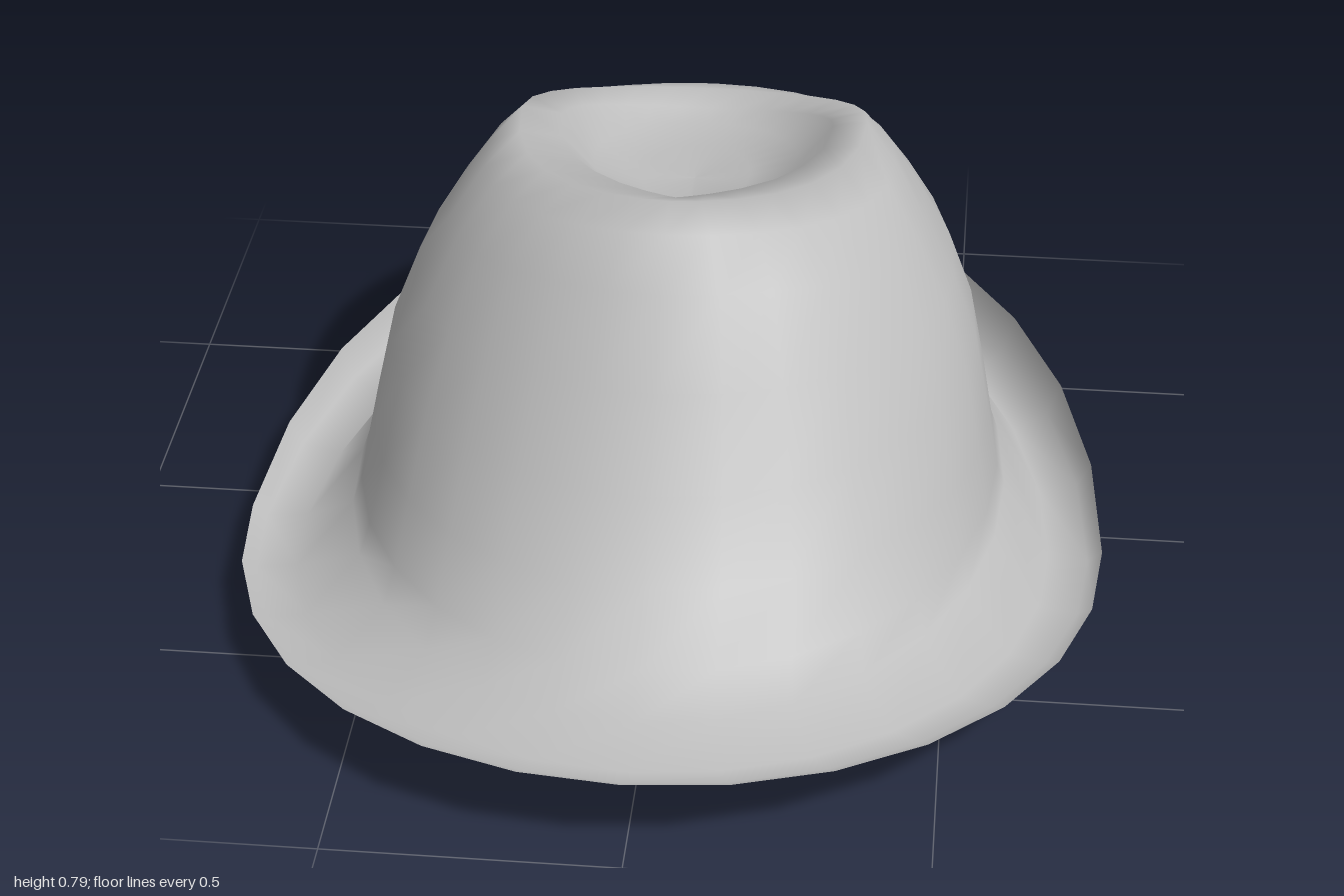
import * as THREE from 'three';

const SEG = 28;

// Egg-shaped rings from the brim edge inwards, up the crown and into the dent:
// [front z, back z, half width, z of widest point, front y, side y, back y,
//  rear dip, front pointedness, height falloff]
const RINGS = [
  [1.0, -1.0, 0.775, 0.15, 0.18, 0.08, 0.142, -0.008, 1, 1.4],
  [0.985, -0.995, 0.75, 0.15, 0.172, 0.06, 0.07, 0.018, 1, 1.2],
  [0.95, -0.935, 0.68, 0.12, 0.166, 0.046, 0.02, 0.026, 1, 1.2],
  [0.84, -0.85, 0.595, 0.0, 0.178, 0.115, 0.09, 0, 1, 1.2],
  [0.75, -0.825, 0.58, 0.0, 0.217, 0.16, 0.14, 0, 1, 1.2],
  [0.64, -0.8, 0.56, -0.02, 0.298, 0.26, 0.28, 0, 1, 1.2],
  [0.54, -0.77, 0.53, -0.05, 0.42, 0.4, 0.4, 0, 1, 1.2],
  [0.44, -0.745, 0.485, -0.08, 0.56, 0.51, 0.49, 0, 1, 1.2],
  [0.35, -0.715, 0.43, -0.12, 0.7, 0.6, 0.53, 0, 1, 1.3],
  [0.28, -0.67, 0.37, -0.18, 0.775, 0.68, 0.56, 0, 1.05, 1.6],
  [0.21, -0.62, 0.315, -0.25, 0.8, 0.72, 0.575, 0, 1.2, 2],
  [0.1, -0.57, 0.25, -0.31, 0.745, 0.675, 0.56, 0, 1.8, 2],
  [0.03, -0.53, 0.19, -0.3, 0.66, 0.6, 0.55, 0, 2, 1.2],
  [-0.1, -0.43, 0.1, -0.28, 0.6, 0.58, 0.555, 0, 1.6, 1.2],
  [-0.27, -0.27, 0, -0.27, 0.575, 0.575, 0.575, 0, 1, 1],
];
const TROUGH = 2, CROWN_BASE = 3, RIDGE = 10;

// Edge of the head opening, on the underside of the brim
const OPENING = [0.67, -0.79, 0.55, 0, 0.162, 0.1, 0.09, 0, 1, 1.2];

function ringPoint([zf, zb, w, zc, yf, ys, yb, dip, point, falloff], angle) {
  const s = Math.sin(angle), c = Math.cos(angle), a = Math.abs(c);
  const front = c > 0;
  const x = w * Math.sign(s) * Math.pow(Math.abs(s), front ? point : 1);
  const z = zc + a * ((front ? zf : zb) - zc);
  let y = ys + ((front ? yf : yb) - ys) * Math.pow(a, front ? falloff : 1.2);
  if (!front) y -= dip * 4 * a * (1 - a);
  return [x, y, z];
}

// Triangles joining ring "from" up to ring "to"
function bands(from, to) {
  const index = [];
  for (let i = from; i < to; i++) {
    for (let j = 0; j < SEG; j++) {
      const a = i * SEG + j, b = i * SEG + (j + 1) % SEG;
      index.push(a, b, b + SEG, a, b + SEG, a + SEG);
    }
  }
  return index;
}

// Smooth sheet through a list of rings
function loft(rings) {
  const positions = [];
  for (const ring of rings) {
    for (let j = 0; j < SEG; j++) positions.push(...ringPoint(ring, (j / SEG) * Math.PI * 2));
  }
  const sheet = new THREE.BufferGeometry();
  sheet.setAttribute('position', new THREE.Float32BufferAttribute(positions, 3));
  sheet.setIndex(bands(0, rings.length - 1));
  sheet.computeVertexNormals();
  return sheet;
}

export function createModel() {
  const felt = new THREE.MeshStandardMaterial({ color: 0xbfbfbf, side: THREE.DoubleSide });
  felt.name = 'grey felt';

  const hat = new THREE.Group();
  hat.name = 'hat';
  const addPart = (name, geometry) => {
    const mesh = new THREE.Mesh(geometry, felt);
    mesh.name = name;
    hat.add(mesh);
  };

  // One sheet, so brim, crown and dent share their normals
  const sheet = loft(RINGS);
  const section = (from, to) => sheet.clone().setIndex(bands(from, to));
  addPart('brim', section(0, CROWN_BASE));
  addPart('crown', section(CROWN_BASE, RIDGE));
  addPart('crownDent', section(RIDGE, RINGS.length - 1));

  // Flat underside reaching in to a crisp head opening
  addPart('brimUnderside', loft([OPENING, RINGS[TROUGH]]));
  return hat;
}
